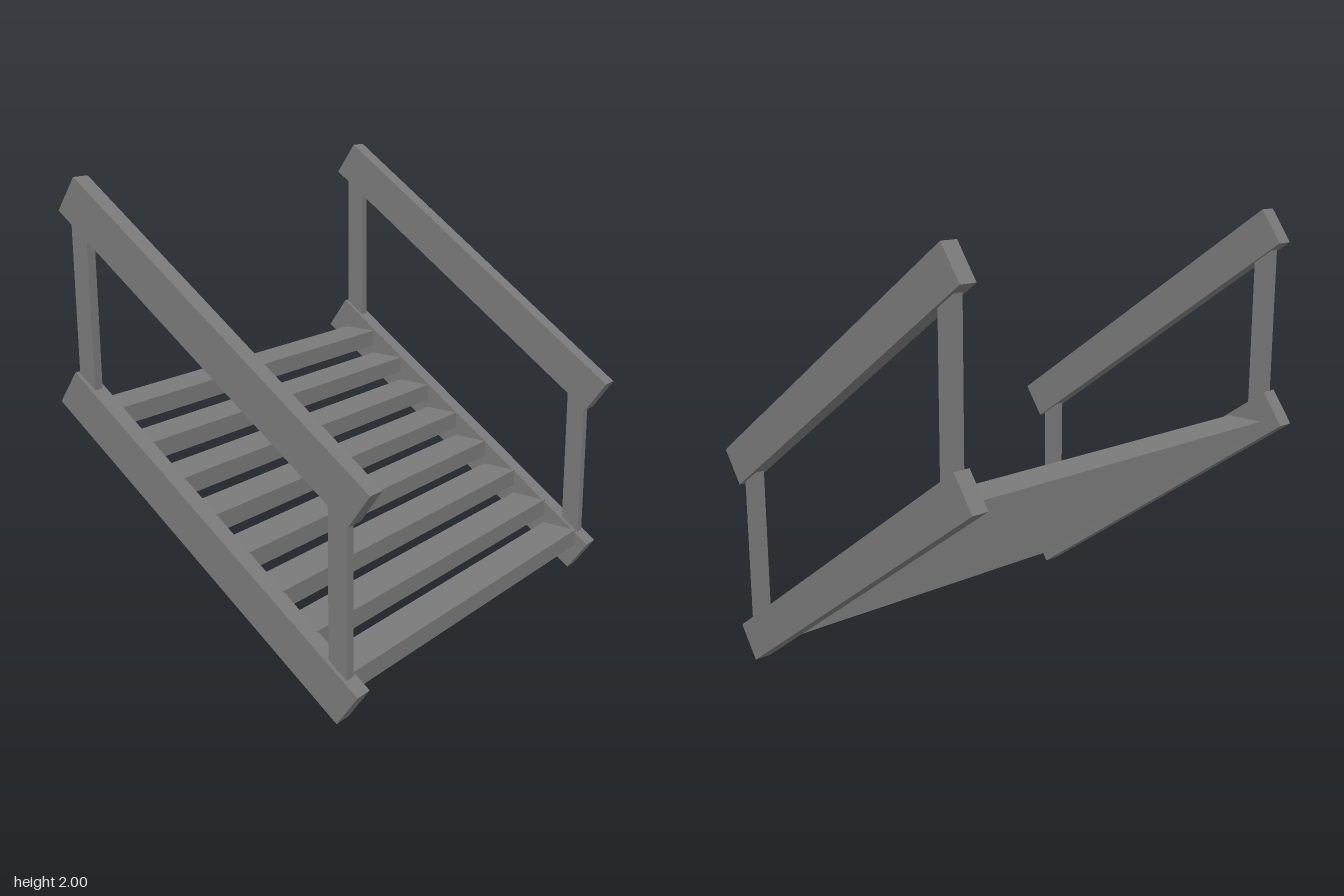
import * as THREE from 'three';

const SLOPE = THREE.MathUtils.degToRad(35);
const STEPS = 8;

export function createModel() {
  const model = new THREE.Group();
  model.name = 'stairs';
  const material = new THREE.MeshStandardMaterial({ color: 0x7a7a7a, flatShading: true });

  function addBox(name, size, position, tilt = 0) {
    const mesh = new THREE.Mesh(new THREE.BoxGeometry(...size), material);
    mesh.name = name;
    mesh.position.set(...position);
    mesh.rotation.x = tilt;
    model.add(mesh);
  }

  // Sloping side beams, handrails and the upright posts between them
  for (const [side, s] of [['left', 1], ['right', -1]]) {
    const x = 0.943 * s;
    const beam = [0.078, 0.174, 1.807];
    addBox(side + 'Stringer', beam, [x, 0.59, -0.025], SLOPE);
    addBox(side + 'Handrail', beam, [x, 1.411, 0.03], SLOPE);
    addBox(side + 'FrontPost', [0.042, 0.8, 0.087], [x, 0.55, 0.657]);
    addBox(side + 'BackPost', [0.042, 0.77, 0.087], [x, 1.465, -0.663]);
  }

  // Treads climbing towards the back
  for (let i = 0; i < STEPS; i++) {
    addBox('tread' + (i + 1), [1.82, 0.079, 0.176], [0, 0.164 + i * 0.1193, 0.609 - i * 0.1752]);
  }

  return model;
}
